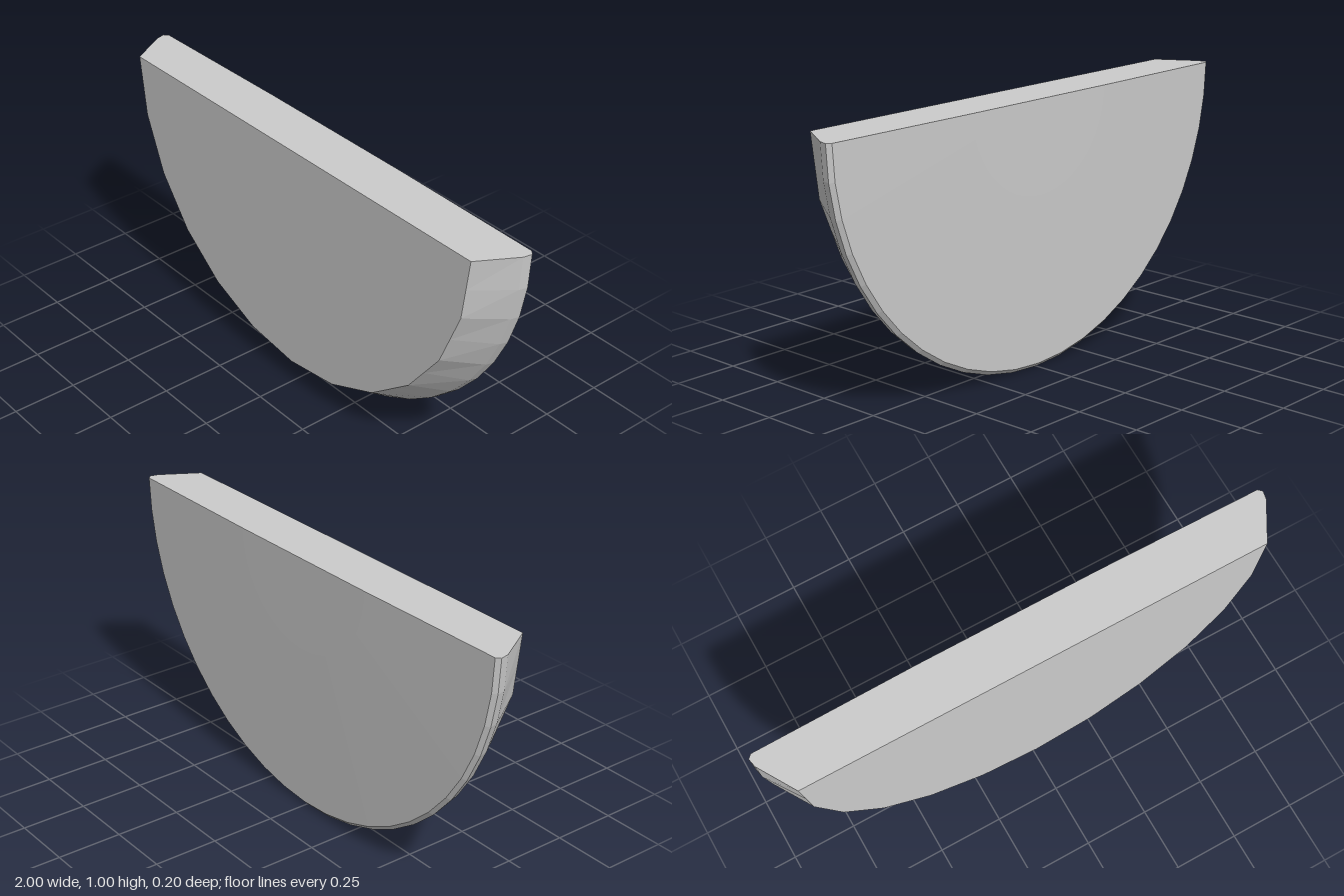
import * as THREE from 'three';

const SEGMENTS = 24;
const CENTRE_Y = 1.005;

// Profile from front centre to back centre: [radius, z]
const PROFILE = [
  [0, 0.1], [0.907, 0.1], [0.993, -0.045], [1.0, -0.078],
  [0.985, -0.092], [0.35, -0.1], [0, -0.1],
];

// One half ring, running from the -x end under the bottom to the +x end
function halfRing([radius, z], ringIndex) {
  const points = [];
  for (let i = 0; i <= SEGMENTS; i++) {
    const a = Math.PI * (1 + i / SEGMENTS);
    // The front edge is a coarser polygon, so every second point sits on its chord
    const r = ringIndex === 1 && i % 2 ? radius * Math.cos(Math.PI / SEGMENTS) : radius;
    points.push([r * Math.cos(a), CENTRE_Y + r * Math.sin(a) * 1.005, z]);
  }
  return points;
}

function halfDiscGeometry() {
  const rings = PROFILE.map(halfRing);
  const positions = [];
  const quad = (a, b, c, d) => positions.push(...a, ...b, ...c, ...a, ...c, ...d);
  for (let k = 0; k < rings.length - 1; k++) {
    const front = rings[k], back = rings[k + 1];
    // Faces, bevelled rim and back rounding
    for (let i = 0; i < SEGMENTS; i++) {
      quad(front[i], back[i], back[i + 1], front[i + 1]);
    }
    // Flat cut along the top
    quad(front[0], front[SEGMENTS], back[SEGMENTS], back[0]);
  }
  const geometry = new THREE.BufferGeometry();
  geometry.setAttribute('position', new THREE.Float32BufferAttribute(positions, 3));
  geometry.computeVertexNormals();
  return geometry;
}

export function createModel() {
  const group = new THREE.Group();
  group.name = 'halfDisc';
  const material = new THREE.MeshStandardMaterial({ color: 0xcccccc, flatShading: true });
  const body = new THREE.Mesh(halfDiscGeometry(), material);
  body.name = 'bevelledHalfDisc';
  group.add(body);
  return group;
}
